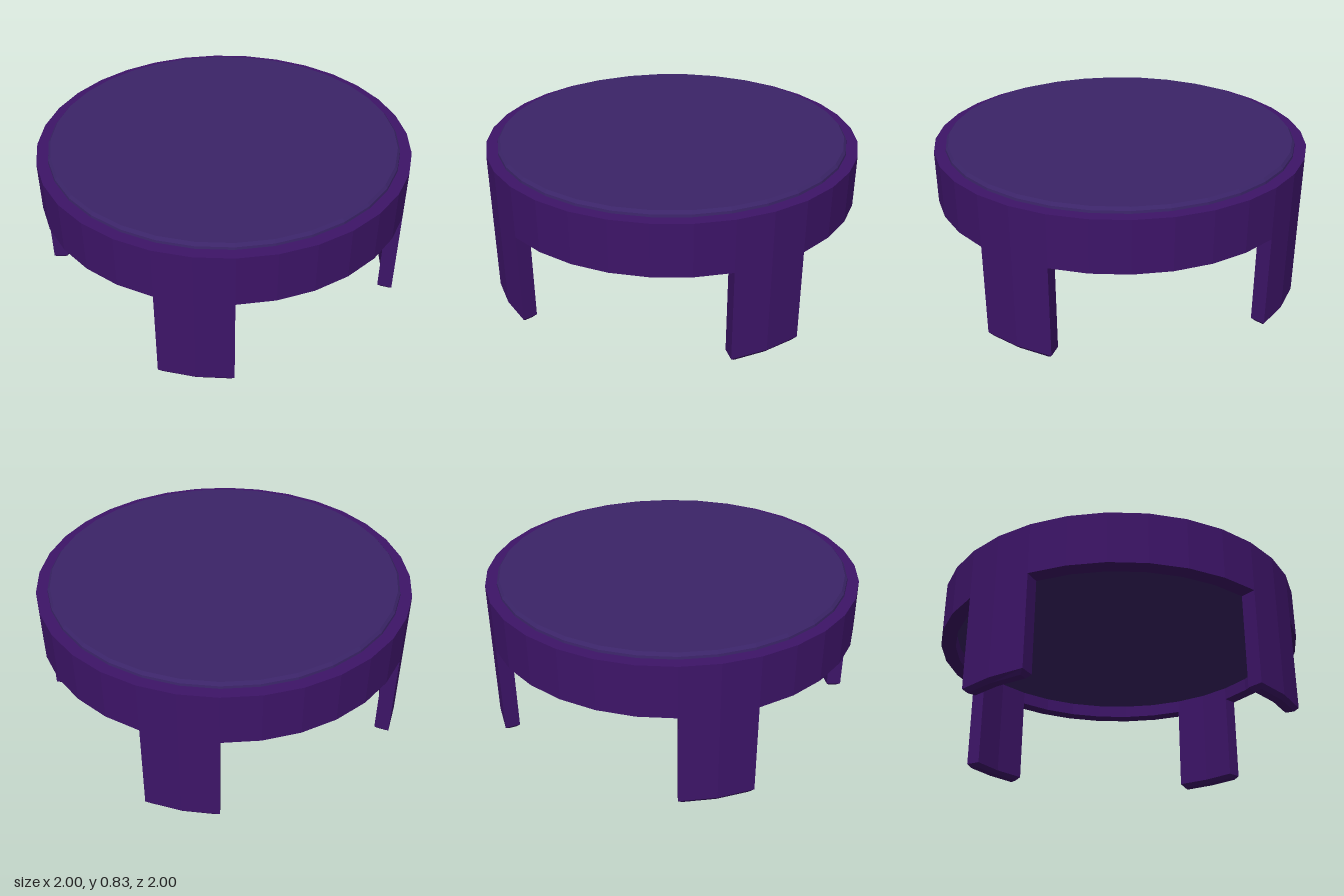
import * as THREE from 'three';

const SIDES = 32;
const STEP = (Math.PI * 2) / SIDES;
const INNER = 0.92;

function material(color) {
  return new THREE.MeshStandardMaterial({ color, flatShading: true });
}

function lathe(name, profile, mat) {
  const points = profile.map(([r, y]) => new THREE.Vector2(r, y));
  const mesh = new THREE.Mesh(new THREE.LatheGeometry(points, SIDES), mat);
  mesh.name = name;
  return mesh;
}

// Curved leg: an arc-shaped section lofted downwards, with a chamfered foot
function legGeometry() {
  const levels = [
    { y: 0, inset: 0.018, half: STEP * 0.89 },
    { y: 0.022, inset: 0, half: STEP },
    { y: 0.52, inset: 0, half: STEP },
  ];
  const positions = [];
  for (const { y, inset, half } of levels) {
    const section = [
      [1 - inset, -half], [1 - inset, 0], [1 - inset, half],
      [INNER + inset, half], [INNER + inset, 0], [INNER + inset, -half],
    ];
    for (const [r, a] of section) positions.push(r * Math.sin(a), y, r * Math.cos(a));
  }
  const index = [];
  for (let l = 0; l < levels.length - 1; l++) {
    for (let i = 0; i < 6; i++) {
      const a = l * 6 + i, b = l * 6 + ((i + 1) % 6);
      index.push(a, b, b + 6, a, b + 6, a + 6);
    }
  }
  // sole
  index.push(0, 4, 1, 0, 5, 4, 1, 3, 2, 1, 4, 3);
  const geometry = new THREE.BufferGeometry();
  geometry.setAttribute('position', new THREE.Float32BufferAttribute(positions, 3));
  geometry.setIndex(index);
  geometry.computeVertexNormals();
  return geometry;
}

export function createModel() {
  const group = new THREE.Group();
  group.name = 'roundTable';
  const frameMat = material(0x3d1468);
  const topMat = material(0x3b2468);

  // Faceted ring around the top
  group.add(lathe('rimBand', [
    [INNER, 0.52], [1, 0.52], [1, 0.8], [INNER, 0.8], [INNER, 0.52],
  ], frameMat));

  // Inset slab with a bevelled lip and a recessed underside
  group.add(lathe('tableTop', [
    [0, 0.595], [INNER, 0.595], [INNER, 0.8], [0.94, 0.8],
    [0.938, 0.813], [0.925, 0.828], [0, 0.828],
  ], topMat));

  // Four legs at front, back and both sides
  const leg = legGeometry();
  ['frontLeg', 'leftLeg', 'backLeg', 'rightLeg'].forEach((name, i) => {
    const mesh = new THREE.Mesh(leg, frameMat);
    mesh.name = name;
    mesh.rotation.y = (i * Math.PI) / 2;
    group.add(mesh);
  });
  return group;
}
